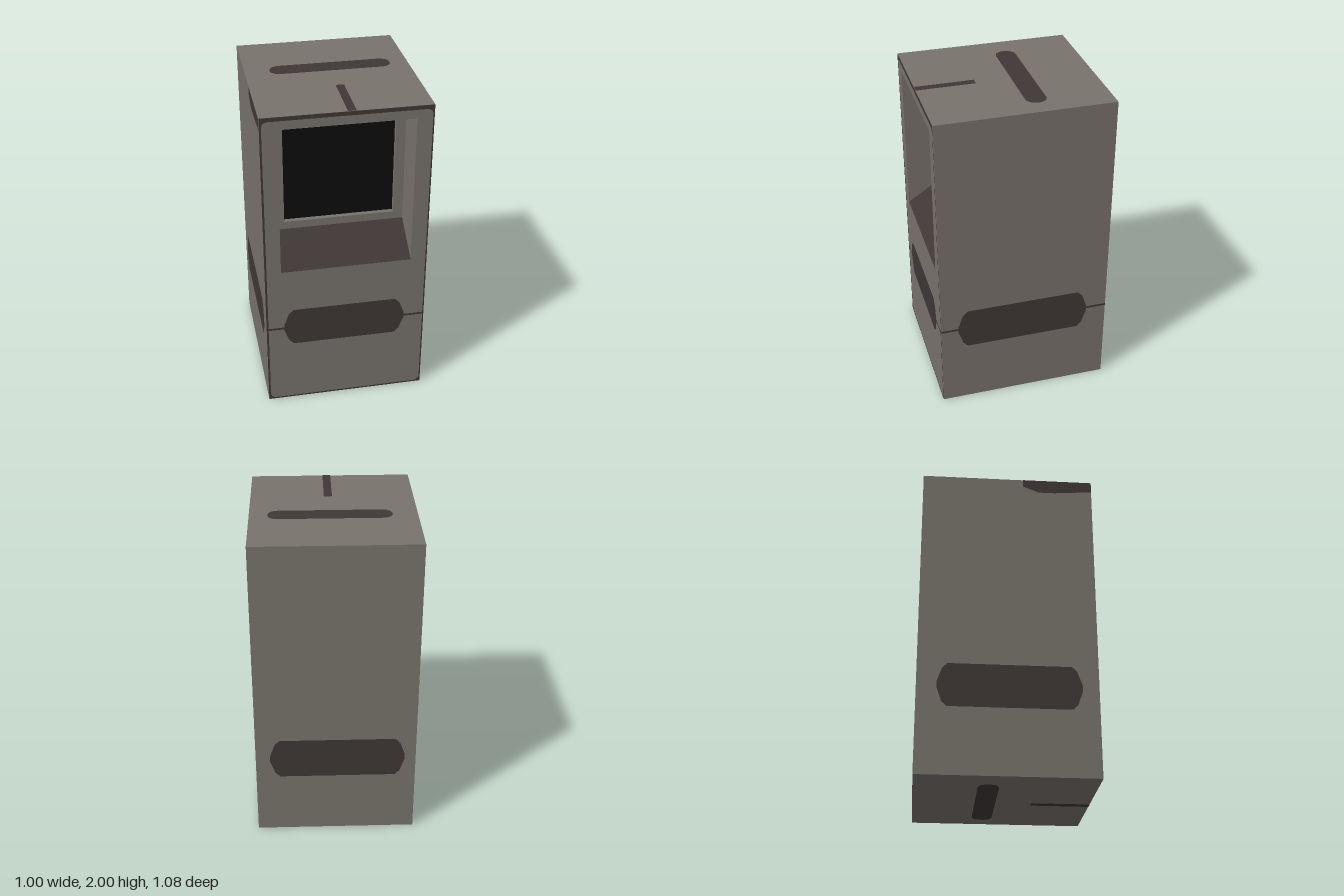
import * as THREE from 'three';

const W = 1, H = 2, D = 1.08, FRONT = D / 2;
const RECESS = 0.236, WELL = 0.03;
const opening = { w: 0.8, y0: 0.97, y1: 1.92 };
const glass = { w: 0.68, y0: 1.18, y1: 1.86 };
const SILL_TOP = 1.13;

// Four-walled rectangular sleeve, open at front and back
function sleeve(w, h, d, inward = false) {
  const geo = new THREE.BoxGeometry(w, h, d);
  const index = Array.from(geo.index.array).slice(0, 24);
  geo.clearGroups();
  geo.setIndex(inward ? index.reverse() : index);
  return geo;
}

function polygon(points) {
  return new THREE.Shape(points.map(([x, y]) => new THREE.Vector2(x, y)));
}

function rect(x0, y0, x1, y1) {
  return polygon([[x0, y0], [x1, y0], [x1, y1], [x0, y1]]);
}

function roundedRect(x0, y0, x1, y1, r) {
  const s = new THREE.Shape();
  s.absarc(x1 - r, y0 + r, r, -Math.PI / 2, 0);
  s.absarc(x1 - r, y1 - r, r, 0, Math.PI / 2);
  s.absarc(x0 + r, y1 - r, r, Math.PI / 2, Math.PI);
  s.absarc(x0 + r, y0 + r, r, Math.PI, Math.PI * 1.5);
  return s;
}

function framed(outer, hole) {
  outer.holes.push(hole);
  return new THREE.ShapeGeometry(outer, 6);
}

// Long band with bevelled ends that narrow to a blunt tip
function band(x0, x1, y0, y1) {
  const m = (y0 + y1) / 2;
  return polygon([
    [x0 + 0.06, y0], [x1 - 0.06, y0], [x1 - 0.03, y0 + 0.03], [x1, m - 0.02], [x1, m + 0.02],
    [x1 - 0.03, y1 - 0.03], [x1 - 0.06, y1], [x0 + 0.06, y1], [x0 + 0.03, y1 - 0.03],
    [x0, m + 0.02], [x0, m - 0.02], [x0 + 0.03, y0 + 0.03],
  ]);
}

export function createModel() {
  const model = new THREE.Group();
  const casing = new THREE.MeshStandardMaterial({ color: 0x78726b });
  casing.name = 'warm grey casing';
  const dark = new THREE.MeshStandardMaterial({ color: 0x3f3736 });
  dark.name = 'dark brown grey';
  const black = new THREE.MeshStandardMaterial({ color: 0x0c0c0c });
  black.name = 'screen black';

  function add(name, geo, material, x = 0, y = 0, z = 0, parent = model) {
    const mesh = new THREE.Mesh(geo, material);
    mesh.name = name;
    mesh.position.set(x, y, z);
    parent.add(mesh);
    return mesh;
  }

  // Outer casing
  add('casingWalls', sleeve(W, H, D), casing, 0, H / 2, 0);
  add('backPanel', new THREE.PlaneGeometry(W, H), casing, 0, H / 2, -FRONT).rotation.y = Math.PI;
  const hw = opening.w / 2, gw = glass.w / 2;
  add('frontPanel', framed(rect(-W / 2, 0, W / 2, H), rect(-hw, opening.y0, hw, opening.y1)),
    casing, 0, 0, FRONT);

  // Screen recess, its bezel and the shallow well holding the glass
  const bezelZ = FRONT - RECESS;
  add('recessWalls', sleeve(opening.w, opening.y1 - opening.y0, RECESS, true), casing,
    0, (opening.y0 + opening.y1) / 2, FRONT - RECESS / 2);
  add('screenBezel', framed(rect(-hw, opening.y0, hw, opening.y1), rect(-gw, glass.y0, gw, glass.y1)),
    casing, 0, 0, bezelZ);
  const glassH = glass.y1 - glass.y0, glassY = (glass.y0 + glass.y1) / 2;
  add('screenWell', sleeve(glass.w, glassH, WELL, true), casing, 0, glassY, bezelZ - WELL / 2);
  add('screen', new THREE.PlaneGeometry(glass.w, glassH), black, 0, glassY, bezelZ - WELL);

  // Sloping sill below the screen
  const rise = SILL_TOP - opening.y0;
  const sill = add('sill', new THREE.PlaneGeometry(opening.w, Math.hypot(rise, RECESS)), dark,
    0, opening.y0 + rise / 2, FRONT - RECESS / 2);
  sill.rotation.x = -Math.atan2(RECESS, rise);

  // Painted bands on all four sides, with thin seams running to the corners
  const sides = [
    ['front', 0, FRONT, W, -0.39, 0.37],
    ['left', Math.PI / 2, W / 2, D, -0.43, 0.41],
    ['back', Math.PI, FRONT, W, -0.41, 0.43],
    ['right', -Math.PI / 2, W / 2, D, -0.42, 0.44],
  ];
  for (const [name, turn, dist, width, x0, x1] of sides) {
    const side = new THREE.Group();
    side.name = name + 'Markings';
    side.rotation.y = turn;
    model.add(side);
    const y0 = name === 'front' ? 0.43 : 0.415;
    add(name + 'Band', new THREE.ShapeGeometry(band(x0, x1, y0, 0.687)), dark, 0, 0, dist + 0.002, side);
    if (name === 'front' || name === 'left') {
      add(name + 'SeamA', new THREE.ShapeGeometry(rect(-width / 2, 0.548, x0, 0.562)), dark,
        0, 0, dist + 0.002, side);
      add(name + 'SeamB', new THREE.ShapeGeometry(rect(x1, 0.548, width / 2, 0.562)), dark,
        0, 0, dist + 0.002, side);
    }
    // Worn patch along the upper front edge
    if (name === 'right') {
      const patch = polygon([[0.1, 1.95], [0.2, 1.91], [0.3, 1.91], [0.54, 1.93], [0.54, 2], [0.1, 2]]);
      add('upperEdgePatch', new THREE.ShapeGeometry(patch), dark, 0, 0, dist + 0.002, side);
    }
  }

  // Thin dark edging around the front face
  add('frontEdging', framed(rect(-W / 2, 0, W / 2, H), roundedRect(-0.488, 0.01, 0.492, 1.975, 0.035)),
    dark, 0, 0, FRONT + 0.002);

  // Slot and short groove, repeated on the top and underneath
  for (const [name, y, tilt] of [['top', H + 0.002, -1], ['bottom', -0.002, 1]]) {
    const face = new THREE.Group();
    face.name = name + 'Markings';
    face.position.y = y;
    face.rotation.x = tilt * Math.PI / 2;
    model.add(face);
    const slot = roundedRect(-0.35, -0.063, 0.39, 0.063, 0.06);
    add(name + 'Slot', new THREE.ShapeGeometry(slot, 6), dark, 0, -tilt * 0.1 * -1 * -1, 0, face)
      .position.y = tilt * 0.1 * -1;
    add(name + 'Groove', new THREE.PlaneGeometry(0.05, 0.36), dark, 0.025, tilt * 0.36, 0, face);
  }
  return model;
}
